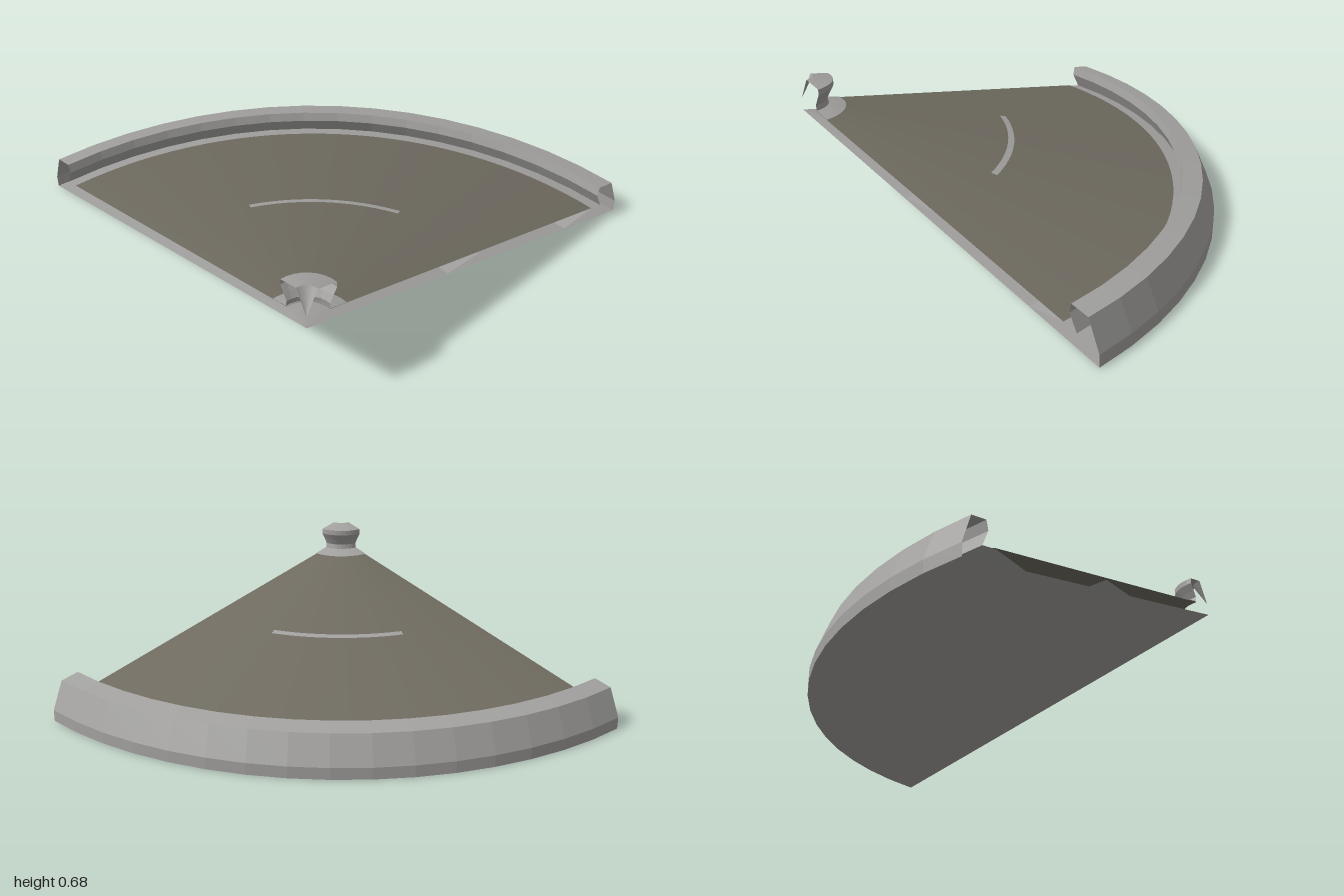
import * as THREE from 'three';

export function createModel() {
  const model = new THREE.Group();
  const stone = new THREE.MeshStandardMaterial({ color: 0xa3a2a0, side: THREE.DoubleSide, flatShading: true });
  stone.name = 'pale stone';
  const slate = new THREE.MeshStandardMaterial({ color: 0x706c61, side: THREE.DoubleSide, flatShading: true });
  slate.name = 'brown slate';

  // Open quarter-turn shell swept about the corner axis at x = 1, z = 1
  function quarter(name, profile, material, segments = 16, start = 0, sweep = Math.PI / 2) {
    const points = profile.map(([r, y]) => new THREE.Vector2(r, y));
    const mesh = new THREE.Mesh(
      new THREE.LatheGeometry(points, segments, Math.PI + start, sweep), material);
    mesh.name = name;
    mesh.position.set(1, 0, 1);
    model.add(mesh);
  }

  // Lower cone, seen from below
  quarter('underside', [[2, 0], [0, 0.505]], stone);

  // Raised rim with its inner gutter
  quarter('rim', [
    [2, 0], [2, 0.06], [1.94, 0.205], [1.845, 0.225],
    [1.835, 0.18], [1.875, 0.1], [1.79, 0.119], [1.6, 0.103],
  ], stone);

  // Roof covering
  quarter('roof', [[1.8, 0.121], [0.12, 0.531]], slate, 32);

  // Hidden step under the roof and the sliver of it that shows through
  quarter('middleStep', [[0.98, 0.312], [0.79, 0.307]], stone);
  quarter('stepEdge', [[1.015, 0.314], [0.985, 0.322]], stone, 12, 0.44, 0.7);

  // Collar and hollow finial at the peak
  quarter('collar', [[0.2, 0.513], [0.12, 0.534]], stone);
  quarter('collarTop', [[0.205, 0.513], [0.16, 0.526], [0.125, 0.535]], stone);
  quarter('finial', [
    [0.125, 0.53], [0.12, 0.56], [0.135, 0.59], [0.155, 0.625],
    [0.155, 0.652], [0.06, 0.675], [0, 0.565],
  ], stone, 8);

  return model;
}
